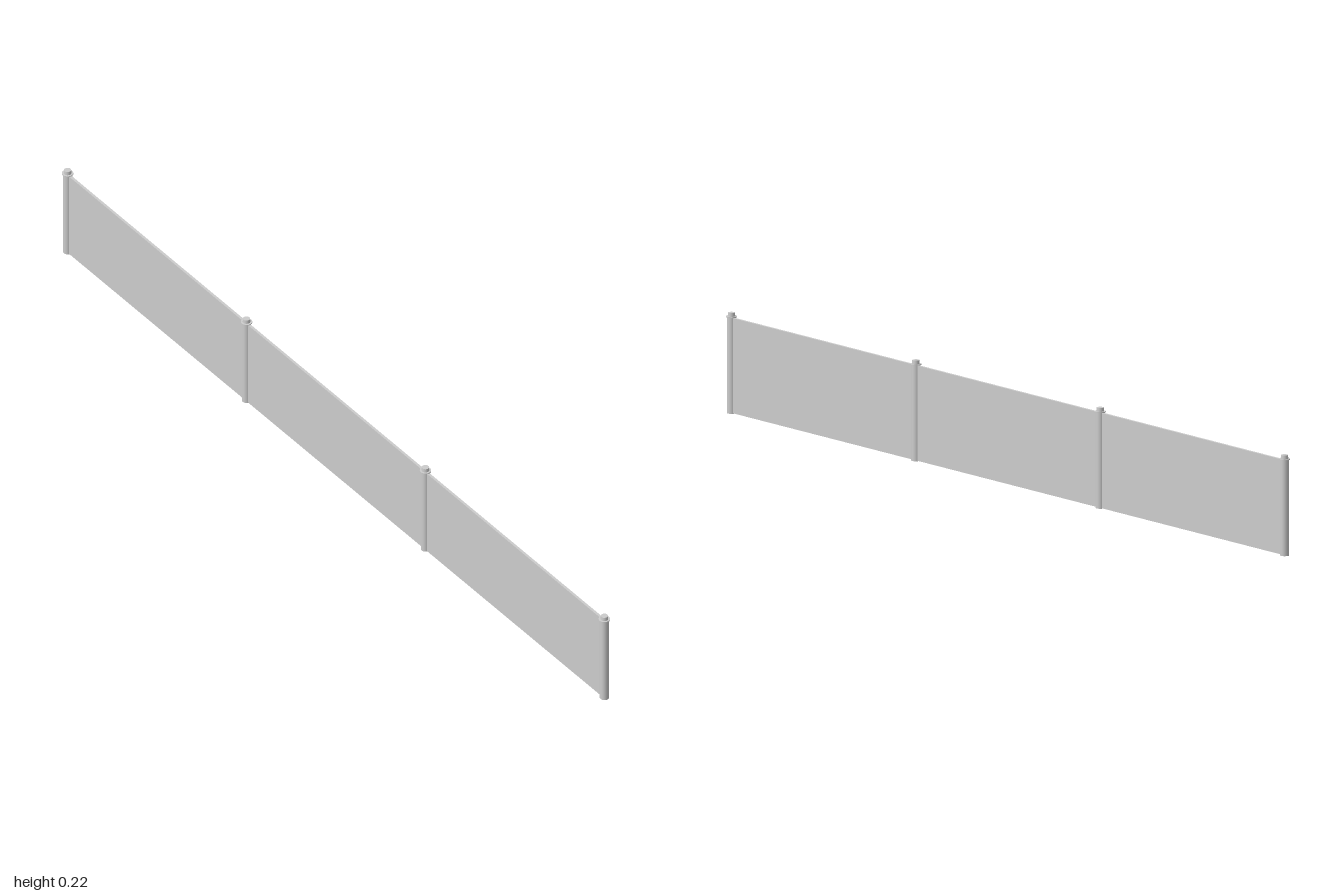
import * as THREE from 'three';

export function createModel() {
  const group = new THREE.Group();
  group.name = 'fence';
  const material = new THREE.MeshStandardMaterial({ color: 0xcccccc });
  const add = (geometry, name, x, y, parent = group) => {
    const mesh = new THREE.Mesh(geometry, material);
    mesh.name = name;
    mesh.position.set(x, y, 0);
    parent.add(mesh);
  };

  const postCount = 4, endX = 0.9875, postHeight = 0.212;
  const spacing = (2 * endX) / (postCount - 1);

  // Shared geometries: round post, thin cap flange, small rounded knob
  const postGeometry = new THREE.CylinderGeometry(0.0102, 0.0102, postHeight, 24);
  const flangeGeometry = new THREE.CylinderGeometry(0.0125, 0.0125, 0.002, 24);
  const knobGeometry = new THREE.CylinderGeometry(0.0078, 0.0084, 0.009, 24);
  const panelGeometry = new THREE.BoxGeometry(spacing, 0.21, 0.006);

  for (let i = 0; i < postCount; i++) {
    const x = -endX + i * spacing;
    const post = new THREE.Group();
    post.name = 'fencePost';
    post.position.x = x;
    group.add(post);
    add(postGeometry, 'postShaft', 0, postHeight / 2, post);
    add(flangeGeometry, 'capFlange', 0, 0.2128, post);
    add(knobGeometry, 'capKnob', 0, 0.2175, post);

    // Flat panel filling the bay up to the next post
    if (i < postCount - 1) add(panelGeometry, 'fencePanel', x + spacing / 2, 0.106);
  }
  return group;
}
